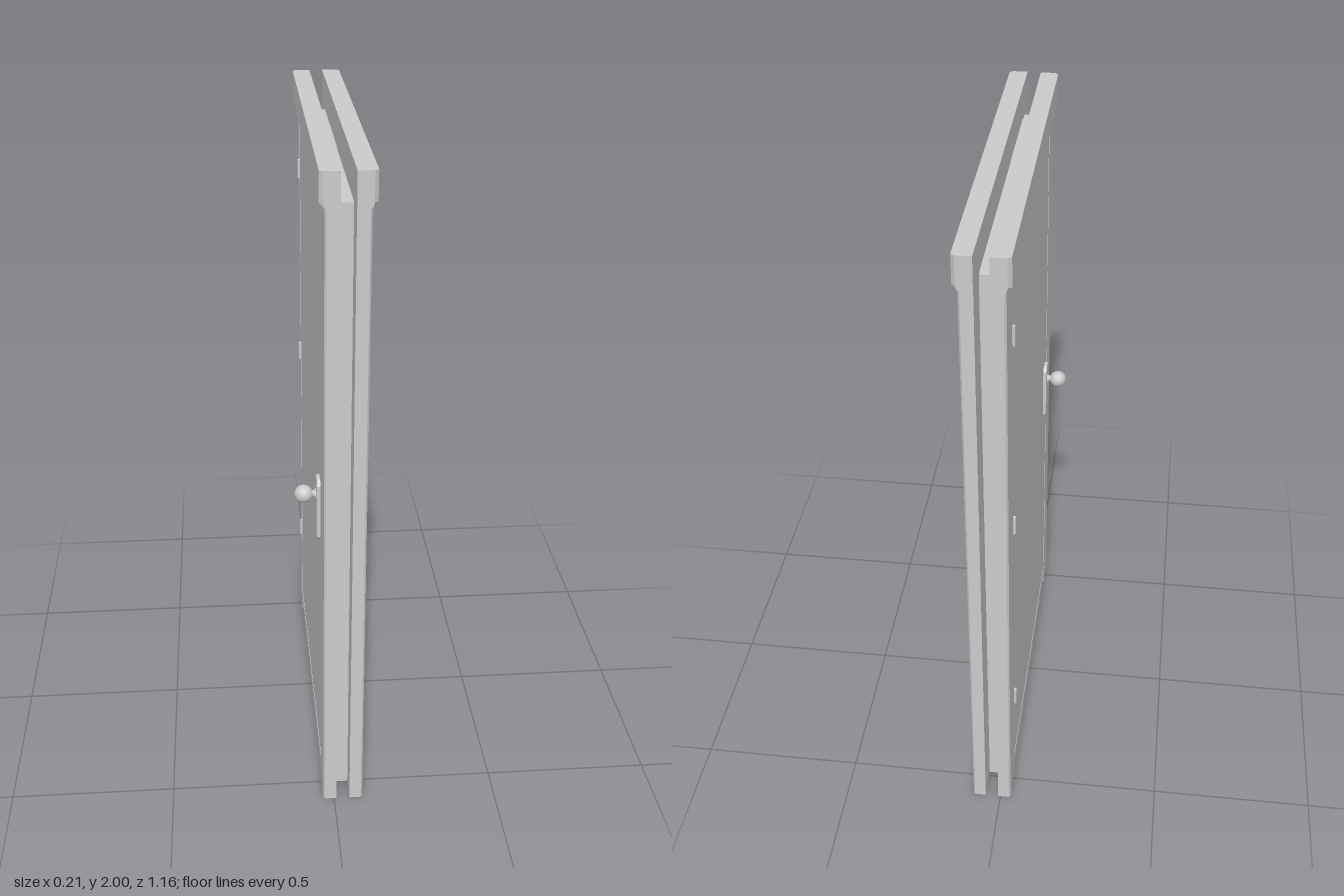
import * as THREE from 'three';

const material = new THREE.MeshStandardMaterial({ color: 0xcccccc });
const MID = 0.0275; // middle of the frame's thickness in x

export function createModel() {
  const door = new THREE.Group();
  door.name = 'framedDoor';

  const add = (name, geometry, parent = door) => {
    const mesh = new THREE.Mesh(geometry, material);
    mesh.name = name;
    parent.add(mesh);
    return mesh;
  };

  // Box given by its limits on each axis
  const box = (name, x0, x1, y0, y1, z0, z1) =>
    add(name, new THREE.BoxGeometry(x1 - x0, y1 - y0, z1 - z0))
      .position.set((x0 + x1) / 2, (y0 + y1) / 2, (z0 + z1) / 2);

  // Plan outline [x, z] raised from y0 to y1; the foot may be drawn in towards x
  const upright = (name, outline, y0, y1, footX = null) => {
    const shape = new THREE.Shape(outline.map(([x, z]) => new THREE.Vector2(x, -z)));
    const g = new THREE.ExtrudeGeometry(shape, { depth: y1 - y0, bevelEnabled: false });
    g.rotateX(-Math.PI / 2);
    g.translate(0, y0, 0);
    if (footX !== null) {
      const p = g.attributes.position;
      for (let i = 0; i < p.count; i++) {
        if (p.getY(i) < y0 + 1e-4 && Math.abs(p.getX(i) - MID) > Math.abs(footX - MID))
          p.setX(i, footX);
      }
      g.computeVertexNormals();
    }
    return add(name, g);
  };

  // Casing on both faces of the wall
  for (const side of [-1, 1]) {
    const at = d => MID + side * d;
    const inner = at(0.0205), outer = at(0.0605), proud = at(0.0745);
    for (const end of [-1, 1]) {
      upright('casingPost', [
        [inner, end * 0.467], [outer, end * 0.467], [outer, end * 0.573],
        [at(0.0555), end * 0.579], [inner, end * 0.579],
      ], 0, 1.91);
    }
    const lo = Math.min(inner, outer), hi = Math.max(inner, outer);
    box('casingBottomRail', lo, hi, 0.03, 0.075, -0.467, 0.467);

    // Header with clipped ends, tapering back to the casing below
    const header = [
      [inner, -0.582], [at(0.0645), -0.582], [proud, -0.573],
      [proud, 0.573], [at(0.0645), 0.582], [inner, 0.582],
    ];
    upright('header', header, 1.917, 2);
    upright('headerTaper', header, 1.903, 1.917, outer);
  }

  // Lining between the casings
  box('jamb', 0.006, 0.049, 0, 1.895, -0.484, -0.464);
  box('jamb', 0.006, 0.049, 0, 1.895, 0.46, 0.503);
  box('headJamb', 0.006, 0.049, 1.885, 1.895, -0.464, 0.46);
  box('sill', 0.006, 0.049, 0.045, 0.077, -0.464, 0.46);

  // Door leaf, flush with the back casing
  box('doorLeaf', -0.032, 0.004, 0.079, 1.899, -0.463, 0.463);

  // Hinge knuckles
  for (const y of [0.36, 1.07, 1.71]) {
    add('hinge', new THREE.CylinderGeometry(0.006, 0.006, 0.06, 12)).position.set(-0.035, y, -0.464);
  }

  // Handle set on each face: clipped plate, turned neck and ball
  const plate = new THREE.Shape([
    [-0.014, -0.096], [0.014, -0.096], [0.029, -0.083], [0.029, 0.083],
    [0.014, 0.096], [-0.014, 0.096], [-0.029, 0.083], [-0.029, -0.083],
  ].map(([x, y]) => new THREE.Vector2(x, y)));
  const neckProfile = [[0, 0], [0.018, 0], [0.017, 0.006], [0.01, 0.012], [0.01, 0.022], [0.014, 0.032]]
    .map(([r, h]) => new THREE.Vector2(r, h));

  for (const side of [-1, 1]) {
    const handle = new THREE.Group();
    handle.name = 'handle';
    add('handlePlate', new THREE.ExtrudeGeometry(plate, {
      depth: 0.006, bevelThickness: 0.005, bevelSize: 0.004, bevelSegments: 2,
    }), handle).position.y = -0.045;
    const neck = add('knobNeck', new THREE.LatheGeometry(neckProfile, 20), handle);
    neck.rotation.x = Math.PI / 2;
    neck.position.z = 0.005;
    add('knob', new THREE.SphereGeometry(0.027, 24, 16), handle).position.z = 0.047;
    handle.position.set(side < 0 ? -0.032 : 0.004, 0.995, 0.403);
    handle.rotation.y = side * Math.PI / 2;
    door.add(handle);
  }

  return door;
}
